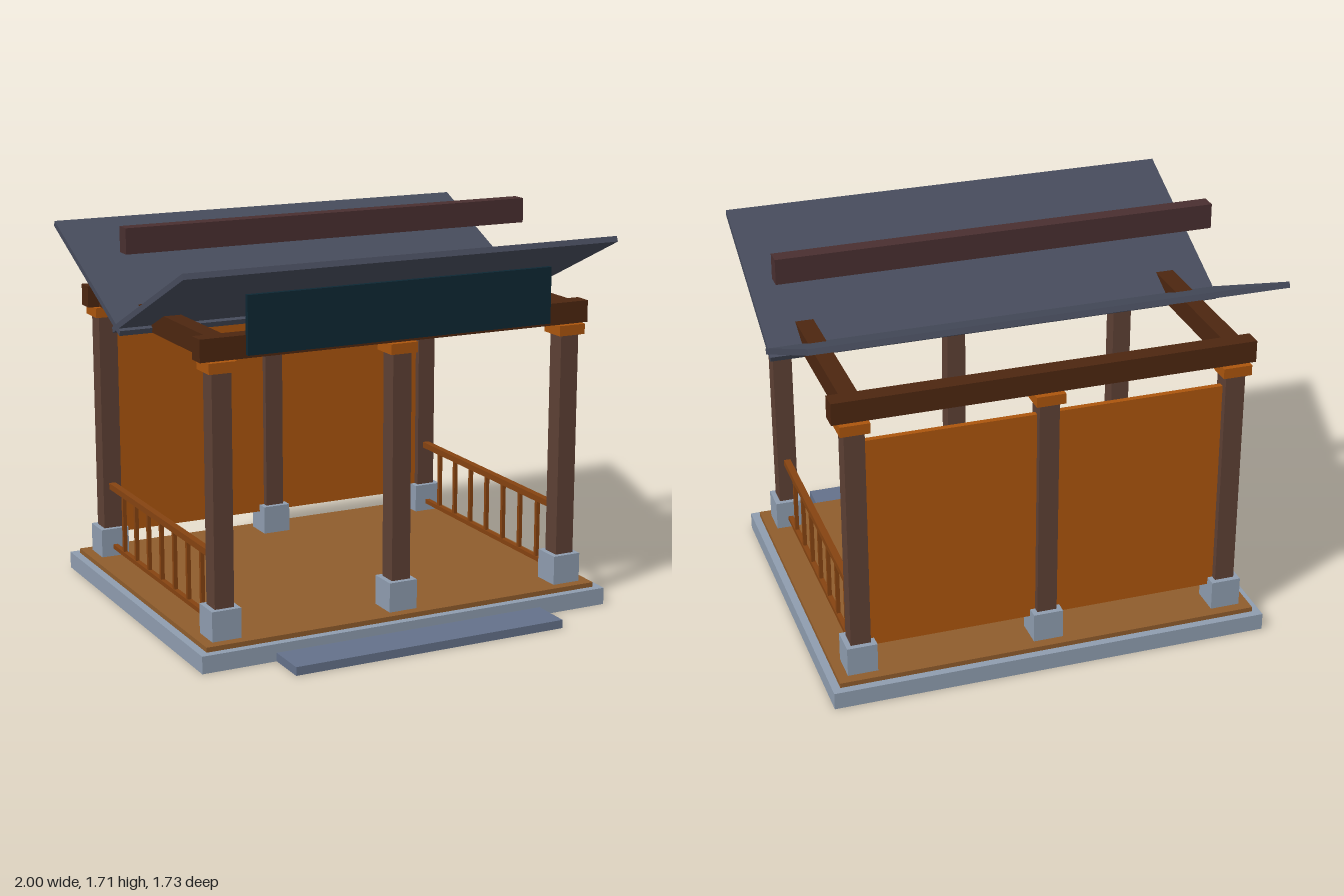
import * as THREE from 'three';

const mat = (name, color) => {
  const m = new THREE.MeshStandardMaterial({ color });
  m.name = name;
  return m;
};

export function createModel() {
  const stone = mat('paleStone', 0x8e9cae);
  const slate = mat('stepStone', 0x64718a);
  const deckWood = mat('deckWood', 0x8f5c2c);
  const postWood = mat('postWood', 0x5d4034);
  const beamWood = mat('beamWood', 0x4c2610);
  const orange = mat('orangeWood', 0xab550d);
  const railWood = mat('railWood', 0x854311);
  const roofTile = mat('roofSlate', 0x464b5b);
  const ridgeWood = mat('ridgeWood', 0x492f30);
  const signTeal = mat('signTeal', 0x0e2733);

  const model = new THREE.Group();
  model.name = 'pavilion';

  // Box given by its size and centre
  const box = (name, material, w, h, d, x, y, z, parent = model) => {
    const mesh = new THREE.Mesh(new THREE.BoxGeometry(w, h, d), material);
    mesh.name = name;
    mesh.position.set(x, y, z);
    parent.add(mesh);
    return mesh;
  };

  const midZ = -0.092;
  const frontZ = 0.538, backZ = -0.722;
  const sideX = 0.815;

  // Plinth, deck and entrance step
  box('plinth', stone, 1.92, 0.075, 1.55, 0, 0.0375, midZ);
  box('deck', deckWood, 1.85, 0.022, 1.48, 0, 0.085, midZ);
  box('step', slate, 1.26, 0.037, 0.21, 0, 0.0185, 0.763);

  // Six posts, each with a stone foot and a capital
  for (const z of [frontZ, backZ]) {
    for (const x of [-sideX, 0, sideX]) {
      const post = new THREE.Group();
      post.name = 'post';
      post.position.set(x, 0, z);
      box('postFoot', stone, 0.13, 0.13, 0.13, 0, 0.16, 0, post);
      box('postShaft', postWood, 0.086, 0.985, 0.086, 0, 0.718, 0, post);
      box('postCapital', orange, 0.125, 0.045, 0.125, 0, 1.232, 0, post);
      model.add(post);
    }
    // Long beam over each row of posts
    box('longBeam', beamWood, 1.81, 0.095, 0.078, 0, 1.303, z);
  }

  for (const side of [-1, 1]) {
    const x = side * sideX;
    // Cross beam
    box('crossBeam', beamWood, 0.078, 0.094, frontZ - backZ, x, 1.303, midZ);

    // Railing with seven balusters
    const railing = new THREE.Group();
    railing.name = 'railing';
    box('topRail', railWood, 0.03, 0.028, 1.19, x, 0.423, midZ, railing);
    box('bottomRail', railWood, 0.022, 0.02, 1.15, x, 0.141, midZ, railing);
    for (let i = -3; i <= 3; i++) {
      box('baluster', railWood, 0.017, 0.262, 0.017, x, 0.28, midZ + i * 0.148, railing);
    }
    model.add(railing);

    // Back wall panel
    box('wallPanel', orange, 0.75, 0.96, 0.025, side * 0.4075, 0.672, backZ);

    // Roof panel, rising outward from the central valley
    const roof = box('roofPanel', roofTile, 2, 0.025, 0.857, 0, 1.443, midZ + side * 0.348);
    roof.rotation.x = -side * 0.426;
  }

  // Floating ridge beam and front signboard
  box('ridgeBeam', ridgeWood, 1.92, 0.11, 0.07, 0, 1.65, midZ);
  box('signboard', signTeal, 1.41, 0.245, 0.022, 0, 1.392, 0.586);

  return model;
}
